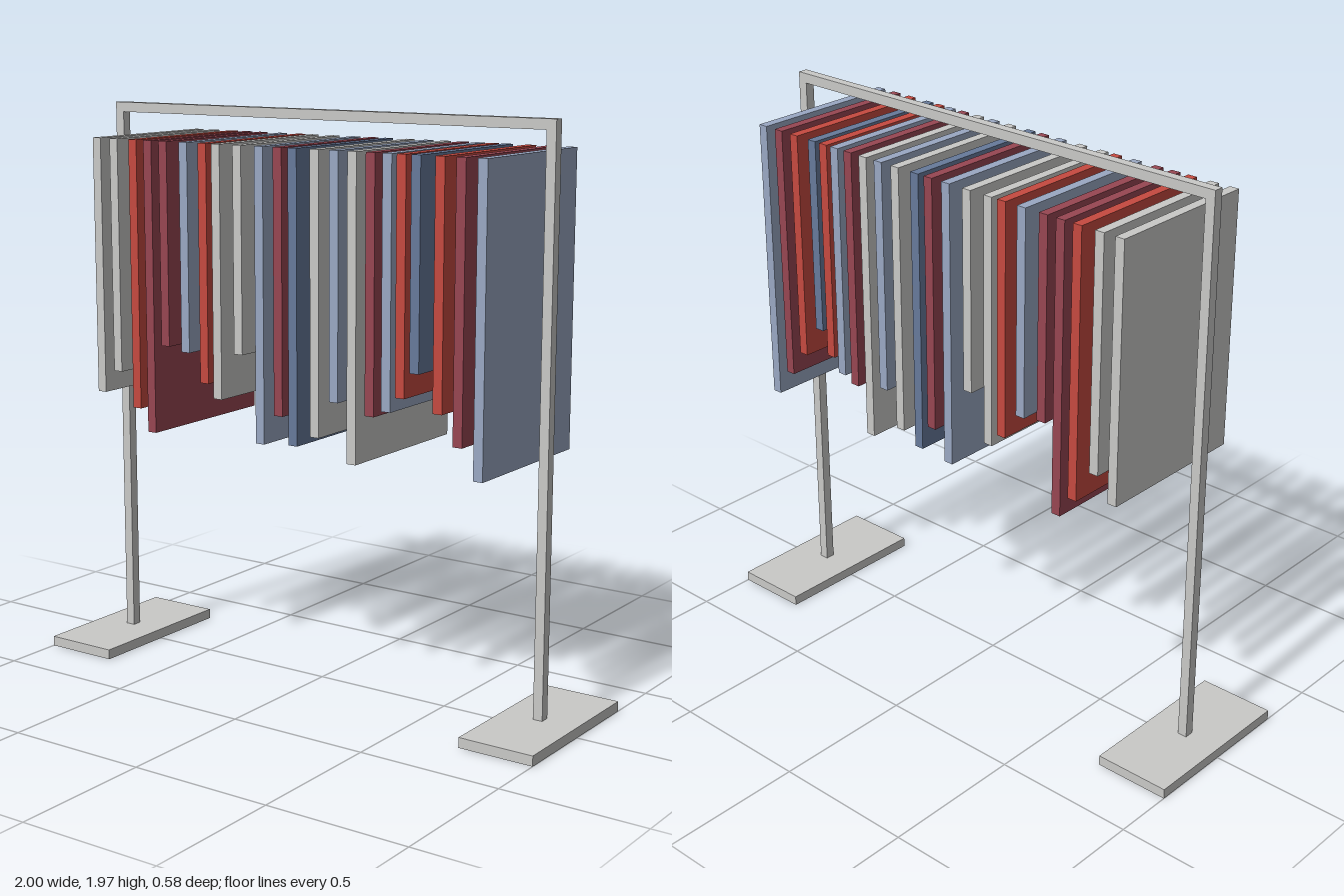
import * as THREE from 'three';

const mat = (name, color) => {
  const m = new THREE.MeshStandardMaterial({ color });
  m.name = name;
  return m;
};

export function createModel() {
  const group = new THREE.Group();
  const grey = mat('light grey', 0xc9c9c7);
  const red = mat('red', 0xc64a40);
  const maroon = mat('maroon', 0x984652);
  const paleBlue = mat('pale blue', 0x9aa8c3);
  const slateBlue = mat('slate blue', 0x677a9b);

  // Box given by its centre in x, bottom and top in y, centred on z
  const addBox = (name, material, x, y0, y1, width, depth) => {
    const mesh = new THREE.Mesh(new THREE.BoxGeometry(width, y1 - y0, depth), material);
    mesh.position.set(x, (y0 + y1) / 2, 0);
    mesh.name = name;
    group.add(mesh);
  };

  // Frame: two feet, two posts and the top rail
  const tube = 0.034, top = 1.968, footHeight = 0.035, postX = 0.865;
  for (const [side, s] of [['left', 1], ['right', -1]]) {
    addBox(side + 'Foot', grey, s * 0.866, 0, footHeight, 0.268, 0.582);
    addBox(side + 'Post', grey, s * postX, footHeight, top - tube, tube, tube);
  }
  addBox('topRail', grey, 0, top - tube, top, 2 * postX + tube, tube);

  // Hanging garments: x, hem height, colour
  const garments = [
    [-0.743, 0.98, grey], [-0.668, 1.06, grey], [-0.584, 0.94, red], [-0.519, 0.862, maroon],
    [-0.453, 1.17, maroon], [-0.366, 1.157, paleBlue], [-0.286, 1.06, red], [-0.23, 1.012, grey],
    [-0.142, 1.173, grey], [-0.054, 0.882, paleBlue], [0.021, 0.985, maroon], [0.08, 0.893, slateBlue],
    [0.166, 0.932, grey], [0.241, 1.057, paleBlue], [0.31, 0.862, grey], [0.379, 1.028, maroon],
    [0.441, 1.05, paleBlue], [0.493, 1.1, red], [0.546, 1.184, slateBlue], [0.632, 1.066, red],
    [0.706, 0.97, maroon], [0.781, 0.872, paleBlue],
  ];
  garments.forEach(([x, hem, material], i) =>
    addBox('garment' + (i + 1), material, x, hem, 1.862, 0.034, 0.562));

  return group;
}
